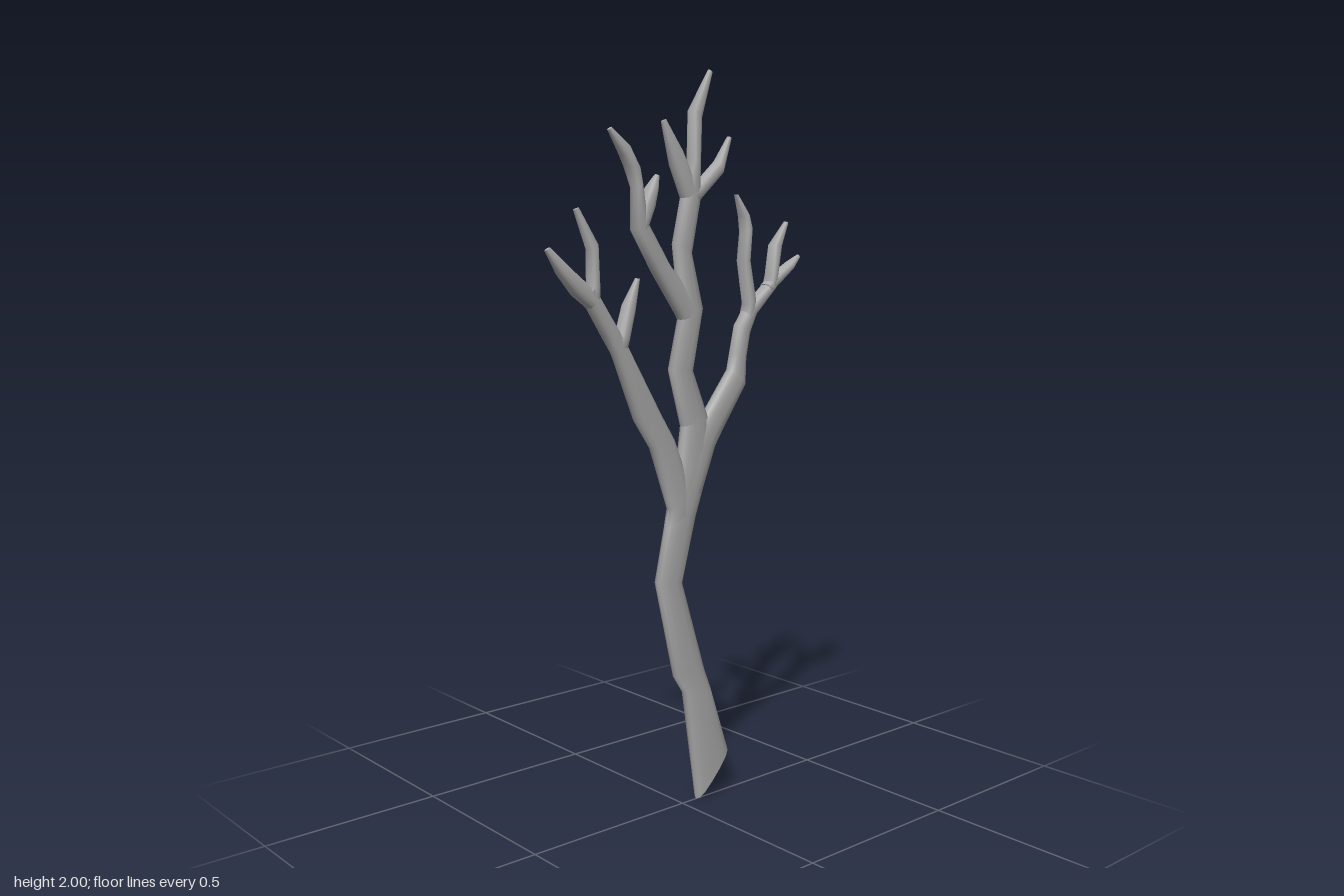
import * as THREE from 'three';

const SIDES = 14;
const DEPTH = 0.022;

// Limb through cross-sections [leftX, leftY, rightX, rightY]; thin in z, tapering at a tip.
function limbGeometry(sections, tapered) {
  const pos = [], index = [];
  const last = sections.length - 1;
  const ring = ([lx, ly, rx, ry], hz) => {
    const start = pos.length / 3;
    for (let i = 0; i < SIDES; i++) {
      const a = (i / SIDES) * Math.PI * 2;
      const c = Math.cos(a), s = Math.sin(a);
      const u = Math.sign(c) * Math.abs(c) ** 0.85;
      const w = Math.sign(s) * Math.abs(s) ** 0.75;
      pos.push((lx + rx) / 2 + u * (rx - lx) / 2, (ly + ry) / 2 + u * (ry - ly) / 2, w * hz);
    }
    return start;
  };
  const depthAt = (k) => (tapered && k === last ? 0.006 : tapered && k === last - 1 ? 0.019 : DEPTH);
  sections.forEach((s, k) => ring(s, depthAt(k)));
  for (let k = 0; k < last; k++) {
    for (let i = 0; i < SIDES; i++) {
      const j = (i + 1) % SIDES;
      const a = k * SIDES + i, b = k * SIDES + j;
      index.push(a, a + SIDES, b, b, a + SIDES, b + SIDES);
    }
  }
  // Flat end caps with their own vertices
  for (const k of [0, last]) {
    const s = ring(sections[k], depthAt(k));
    for (let i = 1; i < SIDES - 1; i++) {
      if (k === 0) index.push(s, s + i, s + i + 1);
      else index.push(s, s + i + 1, s + i);
    }
  }
  const g = new THREE.BufferGeometry();
  g.setAttribute('position', new THREE.Float32BufferAttribute(pos, 3));
  g.setIndex(index);
  g.computeVertexNormals();
  return g;
}

const limbs = {
  trunk: [
    [0.05, 0, 0.165, 0.125], [0.003, 0.32, 0.1, 0.31], [-0.03, 0.37, 0.073, 0.38],
    [-0.093, 0.645, -0.008, 0.635], [-0.05, 0.84, 0.04, 0.81], [-0.02, 0.95, 0.105, 0.99],
    [0, 1.08, 0.077, 1.09],
  ],
  centreBranch: [
    [0, 1.05, 0.085, 1.08], [-0.045, 1.215, 0.03, 1.21], [-0.008, 1.365, 0.065, 1.375],
    [-0.03, 1.545, 0.025, 1.52], [0.003, 1.685, 0.055, 1.66], [0.025, 1.765, 0.052, 1.74],
    [0.025, 1.89, 0.06, 1.87], [0.09, 1.998, 0.102, 1.99],
  ],
  centreLeftTwig: [
    [0, 1.66, 0.045, 1.69], [-0.04, 1.745, -0.005, 1.785], [-0.072, 1.855, -0.058, 1.862],
  ],
  centreRightTwig: [
    [0.02, 1.69, 0.045, 1.65], [0.045, 1.70, 0.06, 1.665], [0.118, 1.765, 0.135, 1.73], [0.16, 1.83, 0.172, 1.825],
  ],
  innerLeftBranch: [
    [0, 1.325, 0.04, 1.41], [-0.02, 1.36, 0, 1.44], [-0.1, 1.47, -0.05, 1.49],
    [-0.17, 1.58, -0.125, 1.6], [-0.165, 1.685, -0.145, 1.7], [-0.19, 1.74, -0.15, 1.735],
    [-0.205, 1.765, -0.182, 1.79], [-0.246, 1.825, -0.236, 1.833],
  ],
  innerLeftTwig: [
    [-0.16, 1.59, -0.13, 1.575], [-0.145, 1.645, -0.1, 1.64], [-0.12, 1.69, -0.09, 1.68], [-0.093, 1.722, -0.081, 1.718],
  ],
  outerLeftBranch: [
    [-0.06, 0.79, 0.02, 0.84], [-0.05, 0.84, 0.02, 0.9], [-0.11, 1.01, -0.035, 1.03],
    [-0.165, 1.09, -0.08, 1.1], [-0.235, 1.265, -0.19, 1.28], [-0.265, 1.31, -0.22, 1.325],
    [-0.32, 1.395, -0.283, 1.415], [-0.325, 1.42, -0.3, 1.44],
  ],
  outerLeftLowTwig: [
    [-0.3, 1.375, -0.29, 1.42], [-0.36, 1.418, -0.32, 1.447], [-0.405, 1.47, -0.372, 1.487], [-0.443, 1.528, -0.428, 1.536],
  ],
  outerLeftHighTwig: [
    [-0.32, 1.41, -0.283, 1.4], [-0.31, 1.447, -0.283, 1.43], [-0.312, 1.53, -0.286, 1.545], [-0.355, 1.627, -0.34, 1.633],
  ],
  outerLeftInnerTwig: [
    [-0.24, 1.29, -0.195, 1.275], [-0.22, 1.32, -0.19, 1.295], [-0.2, 1.39, -0.168, 1.37], [-0.16, 1.458, -0.147, 1.456],
  ],
  rightBranch: [
    [-0.01, 0.9, 0.06, 0.87], [0.02, 1.01, 0.112, 1], [0.077, 1.09, 0.145, 1.05], [0.167, 1.205, 0.223, 1.16],
    [0.178, 1.25, 0.225, 1.235], [0.195, 1.325, 0.238, 1.3], [0.235, 1.38, 0.26, 1.35],
    [0.308, 1.438, 0.338, 1.425], [0.325, 1.46, 0.343, 1.45],
  ],
  rightInnerTwig: [
    [0.215, 1.34, 0.255, 1.35], [0.228, 1.38, 0.257, 1.4], [0.208, 1.5, 0.235, 1.5], [0.217, 1.575, 0.242, 1.59],
    [0.21, 1.62, 0.232, 1.625], [0.187, 1.678, 0.198, 1.677],
  ],
  rightHighTwig: [
    [0.305, 1.42, 0.335, 1.43], [0.316, 1.46, 0.342, 1.46], [0.325, 1.543, 0.36, 1.54], [0.379, 1.608, 0.391, 1.604],
  ],
  rightLowTwig: [
    [0.3, 1.435, 0.315, 1.41], [0.335, 1.462, 0.345, 1.43], [0.392, 1.495, 0.405, 1.475], [0.432, 1.516, 0.438, 1.506],
  ],
};

export function createModel() {
  const group = new THREE.Group();
  group.name = 'bareTree';
  const bark = new THREE.MeshStandardMaterial({ color: 0xa8a8a8 });
  bark.name = 'greyBark';
  const blunt = ['trunk', 'outerLeftBranch', 'rightBranch'];
  for (const [name, sections] of Object.entries(limbs)) {
    const mesh = new THREE.Mesh(limbGeometry(sections, !blunt.includes(name)), bark);
    mesh.name = name;
    group.add(mesh);
  }
  return group;
}
